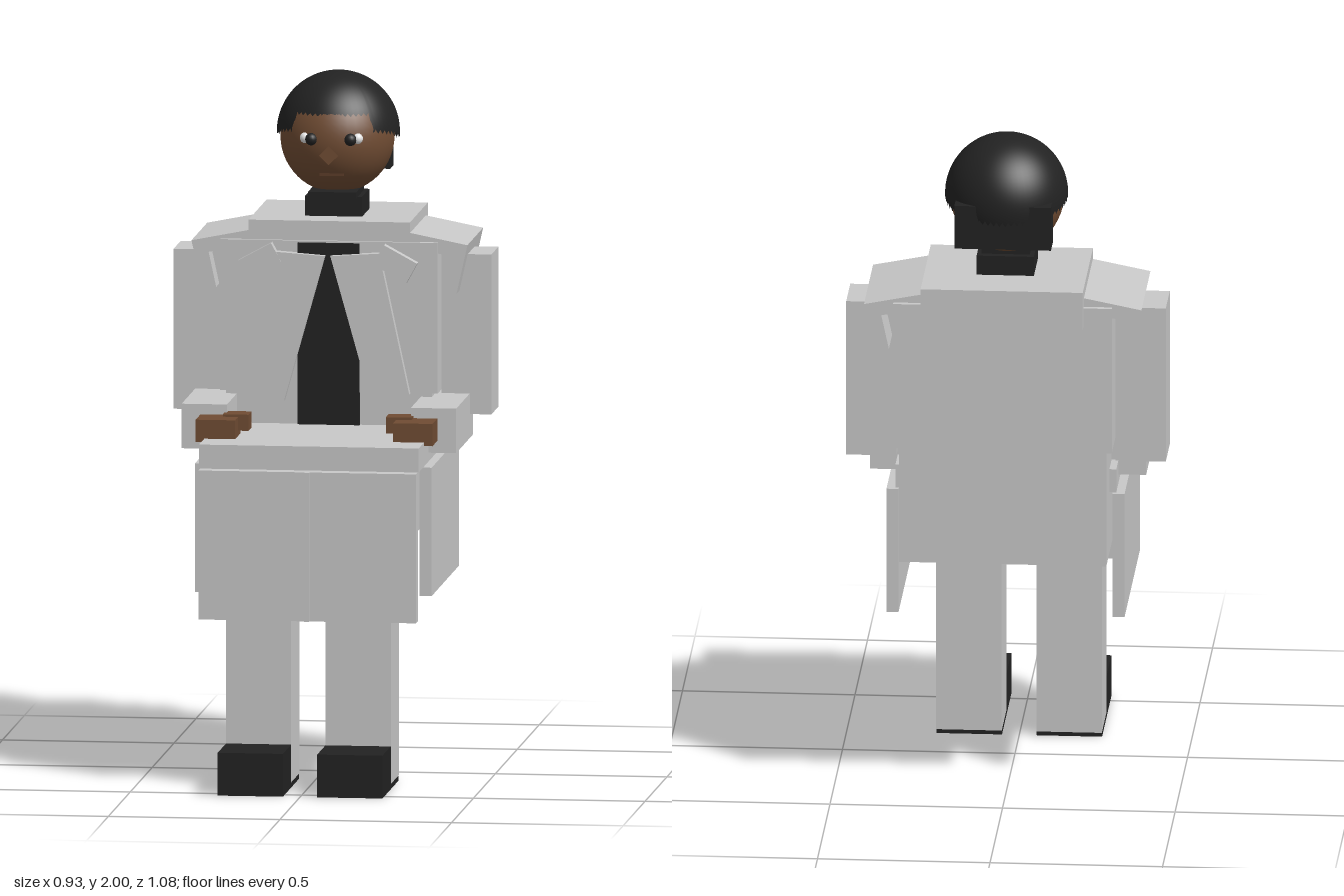
import * as THREE from 'three';

const mat = (name, color) => {
  const m = new THREE.MeshStandardMaterial({ color });
  m.name = name;
  return m;
};

export function createModel() {
  const root = new THREE.Group();
  root.name = 'seatedFigure';
  const cloth = mat('pale grey cloth', 0xc8c8c8);
  const black = mat('black', 0x222222);
  const skin = mat('brown skin', 0x704c33);
  const lip = mat('dark brown', 0x5c3c28);
  const white = mat('eye white', 0xe8e8e8);

  const add = (name, geo, material, x = 0, y = 0, z = 0) => {
    const m = new THREE.Mesh(geo, material);
    m.name = name;
    m.position.set(x, y, z);
    root.add(m);
    return m;
  };
  // box given by its limits on each axis
  const box = (name, material, x0, x1, y0, y1, z0, z1) =>
    add(name, new THREE.BoxGeometry(x1 - x0, y1 - y0, z1 - z0), material,
      (x0 + x1) / 2, (y0 + y1) / 2, (z0 + z1) / 2);
  // the same box on both sides
  const pair = (name, material, x0, x1, ...yz) => {
    box(name + 'Left', material, x0, x1, ...yz);
    box(name + 'Right', material, -x1, -x0, ...yz);
  };

  // legs and shoes
  pair('lowerLeg', cloth, 0.05, 0.24, 0.015, 0.75, 0.16, 0.35);
  pair('shoe', black, 0.05, 0.24, 0, 0.125, 0.35, 0.54);
  pair('sole', black, 0.05, 0.24, 0, 0.015, 0.17, 0.35);
  box('thighs', cloth, -0.27, 0.27, 0.70, 0.93, -0.33, 0.315);

  // coat skirt draped over the lap
  box('lap', cloth, -0.32, 0.32, 0.925, 0.995, -0.365, 0.34);
  pair('frontPanel', cloth, 0.003, 0.317, 0.49, 0.925, 0.33, 0.38);
  box('frontSeam', cloth, -0.007, 0.007, 0.49, 0.925, 0.34, 0.394);
  pair('sidePanel', cloth, 0.31, 0.345, 0.55, 0.925, -0.38, 0.24);

  // torso
  box('hips', cloth, -0.30, 0.30, 0.74, 1.09, -0.49, -0.118);
  box('torso', cloth, -0.317, 0.317, 1.09, 1.53, -0.505, -0.115);
  box('shirt', black, -0.09, 0.09, 0.995, 1.525, -0.12, -0.105);
  box('yoke', cloth, -0.235, 0.235, 1.53, 1.587, -0.535, -0.125);
  box('backFlap', cloth, -0.235, 0.235, 1.475, 1.54, -0.535, -0.49);

  // arms bent forward
  pair('upperArm', cloth, 0.318, 0.463, 1.02, 1.487, -0.36, -0.20);
  pair('forearm', cloth, 0.268, 0.40, 0.95, 1.08, -0.275, 0.11);
  pair('hand', skin, 0.23, 0.345, 0.985, 1.05, 0.10, 0.22);
  pair('thumb', skin, 0.20, 0.275, 1.01, 1.057, 0.08, 0.15);

  for (const s of [1, -1]) {
    const side = s > 0 ? 'Left' : 'Right';
    // sloping shoulder cap with a hanging outer flap
    const pts = [[0.225, 1.558], [0.402, 1.523], [0.37, 1.38], [0.33, 1.388],
      [0.352, 1.49], [0.225, 1.515]];
    const shape = new THREE.Shape(pts.map(([x, y]) => new THREE.Vector2(x * s, y)));
    add('shoulderCap' + side, new THREE.ExtrudeGeometry(shape,
      { depth: 0.36, bevelEnabled: false }), cloth, 0, 0, -0.49);

    // jacket front and notched lapel
    const front = new THREE.Shape([[0.008, 1.49], [0.127, 1.065], [0.238, 1.09],
      [0.15, 1.50]].map(([x, y]) => new THREE.Vector2(x * s, y)));
    add('jacketFront' + side, new THREE.ExtrudeGeometry(front,
      { depth: 0.03, bevelEnabled: false }), cloth, 0, 0, -0.116);
    add('lapel' + side, new THREE.BoxGeometry(0.11, 0.066, 0.032), cloth,
      s * 0.197, 1.47, -0.1).rotation.z = -s * 0.5;

    // eyes
    add('pupil' + side, new THREE.SphereGeometry(0.018, 16, 12), black, s * 0.057, 1.82, -0.162);
    add('eyeWhite' + side, new THREE.SphereGeometry(0.016, 16, 12), white, s * 0.076, 1.822, -0.175);
  }

  // neck and head
  box('neck', black, -0.083, 0.083, 1.58, 1.645, -0.39, -0.225);
  box('chinBand', black, -0.07, 0.07, 1.645, 1.662, -0.37, -0.19);
  add('head', new THREE.SphereGeometry(0.165, 40, 28), skin, 0, 1.81, -0.315);
  box('mouth', lip, -0.035, 0.035, 1.711, 1.719, -0.186, -0.178);

  // nose: four-sided cone with its broad end forward
  const nose = new THREE.ConeGeometry(0.028, 0.06, 4);
  nose.rotateX(-Math.PI / 2);
  add('nose', nose.toNonIndexed(), skin, 0, 1.78, -0.138);

  // hair cap, cut higher over the forehead and lower at the nape
  const R = 0.178;
  const hair = new THREE.SphereGeometry(R, 64, 24);
  const p = hair.attributes.position, uv = hair.attributes.uv;
  for (let i = 0; i < p.count; i++) {
    const a = uv.getX(i) * Math.PI * 2 - Math.PI; // 0 at the front after the turn below
    const edge = Math.abs(a) < 0.72 ? 1.2 : 1.64 - 0.2 * Math.cos(a);
    const t = (1 - uv.getY(i)) * edge;
    p.setXYZ(i, R * Math.sin(t) * Math.sin(a), R * Math.cos(t), R * Math.sin(t) * Math.cos(a));
    hair.attributes.normal.setXYZ(i, p.getX(i) / R, p.getY(i) / R, p.getZ(i) / R);
  }
  const hairMat = black.clone();
  hairMat.name = 'black hair';
  hairMat.side = THREE.DoubleSide;
  add('hair', hair, hairMat, 0, 1.82, -0.335);
  box('hairRoll', black, -0.14, 0.14, 1.70, 1.83, -0.495, -0.42);

  return root;
}
